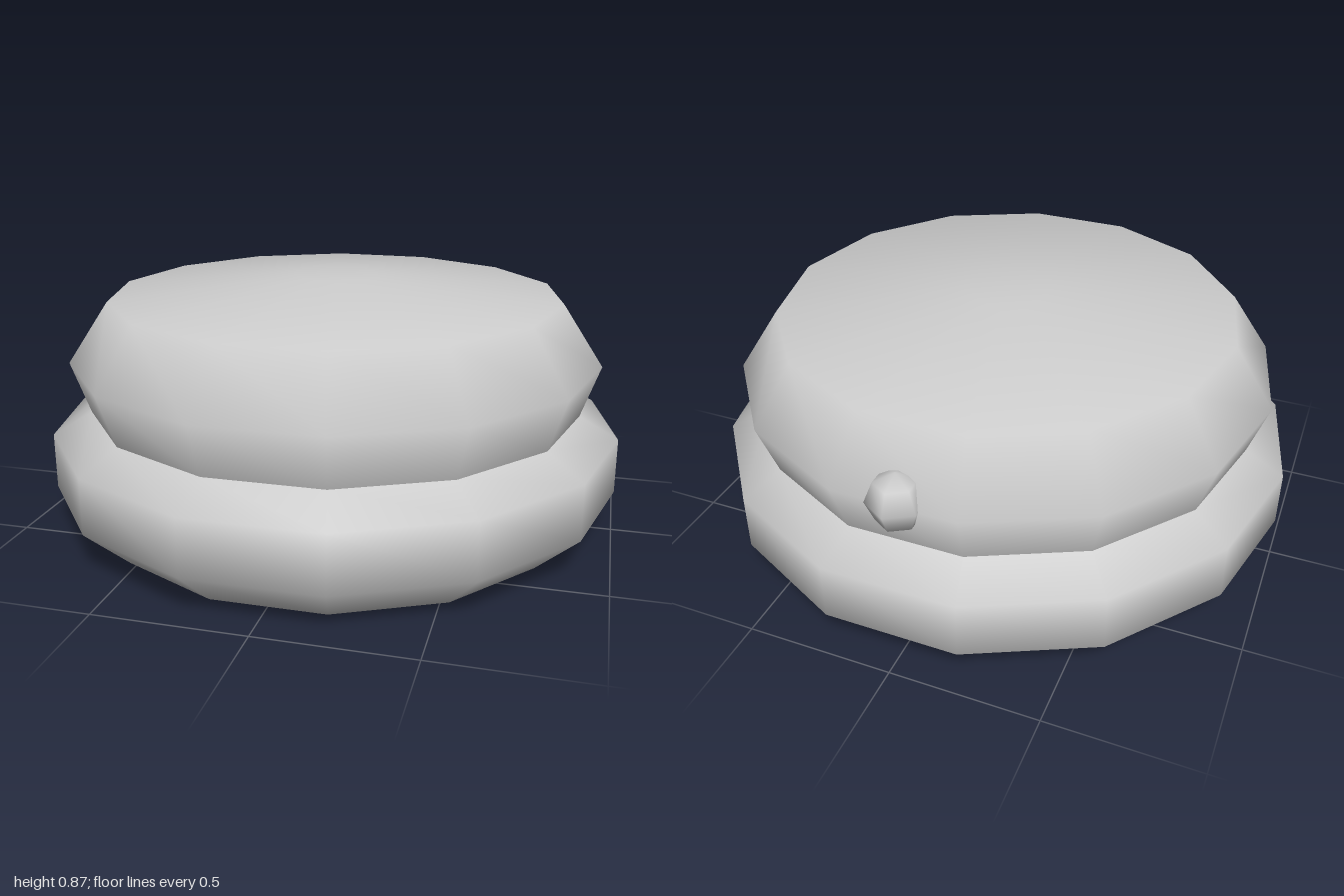
import * as THREE from 'three';

const SIDES = 14;

// Smooth turned part with a corner pointing along +x
function turned(name, profile, material) {
  const points = profile.map(([r, y]) => new THREE.Vector2(r, y));
  const mesh = new THREE.Mesh(new THREE.LatheGeometry(points, SIDES, Math.PI / 2), material);
  mesh.name = name;
  return mesh;
}

export function createModel() {
  const grey = new THREE.MeshStandardMaterial({ color: 0xcccccc });
  grey.name = 'light grey';
  const model = new THREE.Group();
  model.name = 'stackedCushion';

  // Wide lower cushion with a flat underside
  model.add(turned('lowerCushion', [
    [0, 0], [0.845, 0], [1, 0.143], [1, 0.335], [0.865, 0.41],
  ], grey));

  // Narrower upper cushion with a shallow domed top
  model.add(turned('upperCushion', [
    [0.865, 0.41], [0.928, 0.59], [0.79, 0.797], [0.145, 0.865], [0, 0.865],
  ], grey));

  // Small round knob sunk into the back
  const knob = new THREE.Mesh(new THREE.SphereGeometry(0.097, 6, 4, Math.PI / 2), grey);
  knob.name = 'backKnob';
  knob.position.set(0, 0.59, -0.87);
  model.add(knob);

  return model;
}
